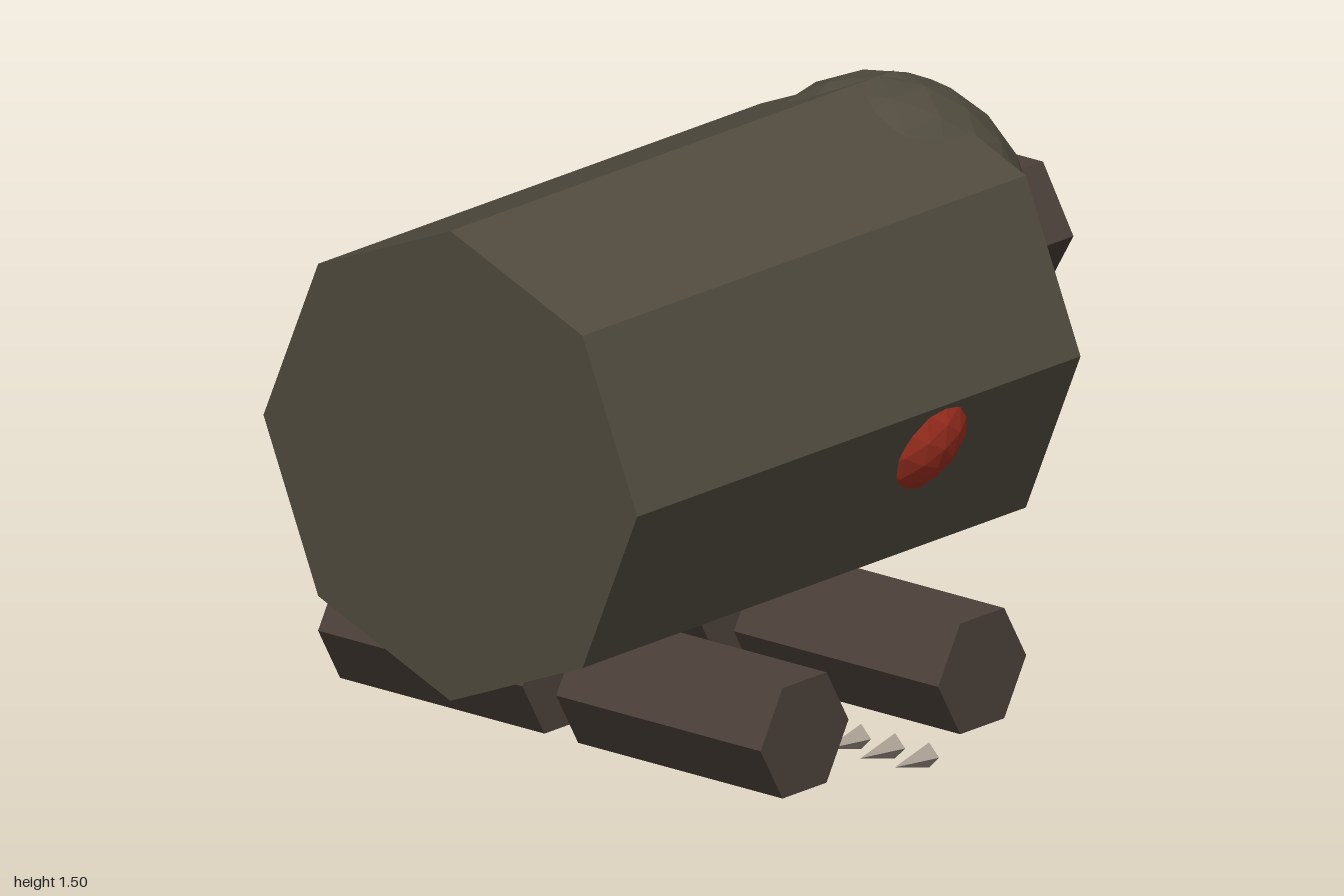
import * as THREE from 'three';

const paint = (color) => new THREE.MeshStandardMaterial({ color, flatShading: true });

export function createModel() {
  const model = new THREE.Group();
  const hide = paint(0x504b3e);
  const limb = paint(0x4b4039);
  const claw = paint(0xa89c90);
  const red = paint(0xaa3322);

  const add = (name, geometry, material, x, y, z) => {
    const mesh = new THREE.Mesh(geometry, material);
    mesh.name = name;
    mesh.position.set(x, y, z);
    model.add(mesh);
    return mesh;
  };

  // Octagonal barrel body lying along x
  const bodyGeo = new THREE.CylinderGeometry(0.577, 0.577, 1.577, 8).rotateZ(-Math.PI / 2);
  add('body', bodyGeo, hide, -0.2115, 0.93, 0);

  // Faceted head sunk into the body end, with a hexagonal snout
  add('head', new THREE.IcosahedronGeometry(0.363, 3), hide, 0.52, 1.143, 0);
  const snoutGeo = new THREE.CylinderGeometry(0.188, 0.188, 0.32, 6).rotateZ(-Math.PI / 2);
  add('snout', snoutGeo, limb, 0.84, 1.035, 0);

  // Red ball mostly buried in the flank, showing only a shallow cap
  add('redSpot', new THREE.IcosahedronGeometry(0.214, 3), red, 0.104, 0.88, 0.364);

  // Hexagonal legs lying sideways, and three claws on each side
  const legGeo = new THREE.CylinderGeometry(0.1565, 0.1565, 0.631, 6)
    .rotateY(Math.PI / 2).rotateX(Math.PI / 2);
  const clawGeo = new THREE.ConeGeometry(0.031, 0.123, 4).rotateZ(Math.PI / 2);
  for (const side of [1, -1]) {
    const label = side > 0 ? 'Front' : 'Back';
    add('rearLeg' + label, legGeo, limb, -0.527, 0.298, side * 0.3675);
    add('foreLeg' + label, legGeo, limb, 0.105, 0.298, side * 0.3675);
    for (let i = 0; i < 3; i++) {
      add('claw' + label + (i + 1), clawGeo, claw, 0.0965, 0.033, side * (0.263 + i * 0.105));
    }
  }

  return model;
}
